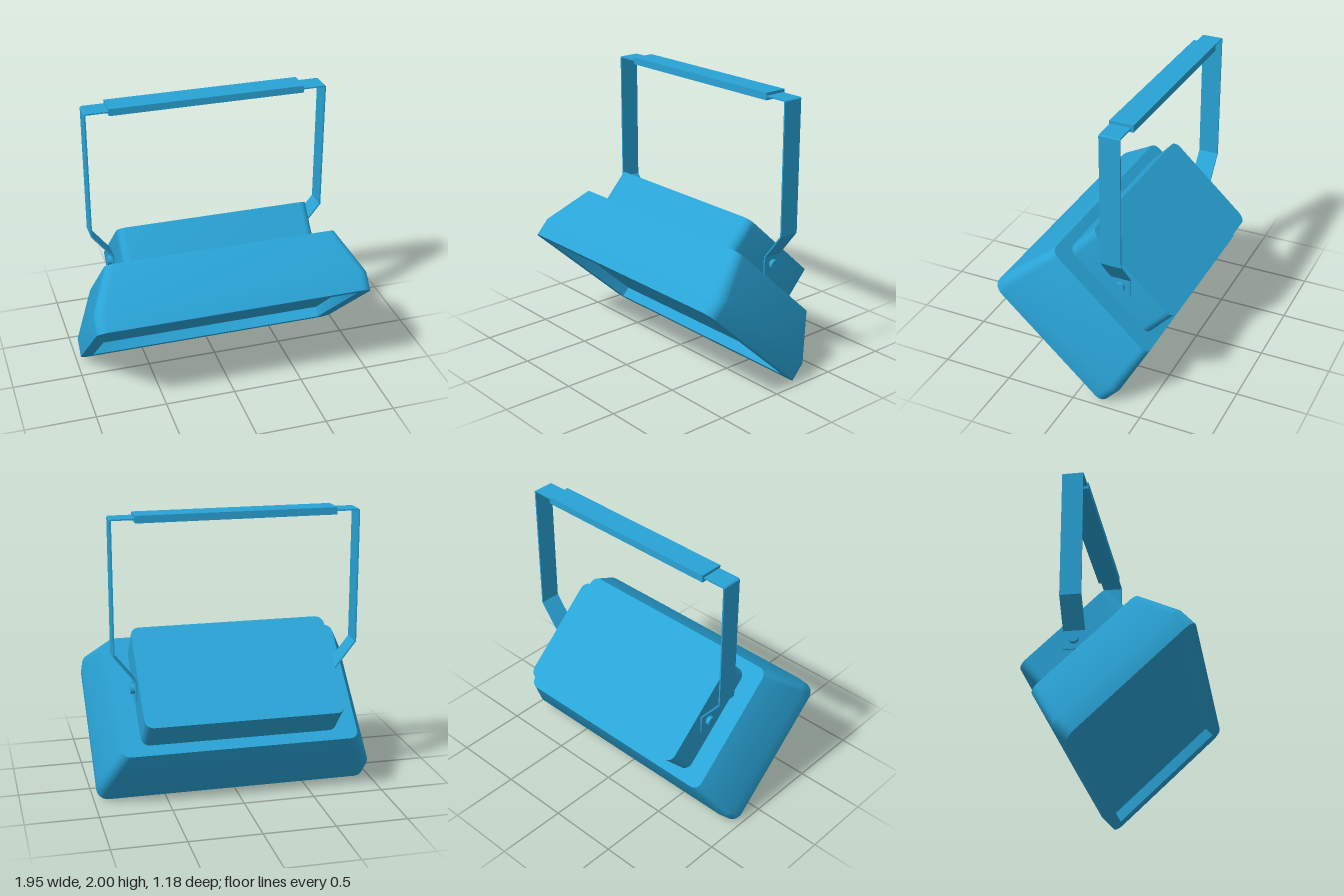
import * as THREE from 'three';
import { toCreasedNormals } from 'three/addons/utils/BufferGeometryUtils.js';

const material = new THREE.MeshStandardMaterial({ color: 0x29a3d6 });

function addMesh(parent, name, geometry) {
  const mesh = new THREE.Mesh(geometry, material);
  mesh.name = name;
  parent.add(mesh);
  return mesh;
}

// Rounded rectangle (half width w, half height h, radius r) at depth z, counter-clockwise
function section([w, h, r, z], steps = 6) {
  const points = [];
  [[1, 1], [-1, 1], [-1, -1], [1, -1]].forEach(([sx, sy], corner) => {
    for (let i = 0; i <= steps; i++) {
      const a = (corner + i / steps) * Math.PI / 2;
      points.push([sx * (w - r) + r * Math.cos(a), sy * (h - r) + r * Math.sin(a), z]);
    }
  });
  return points;
}

// Skin a row of sections; both ends close to a centre point
function loft(rows) {
  const rings = [[0, 0, 0, rows[0][3]], ...rows, [0, 0, 0, rows[rows.length - 1][3]]].map((row) => section(row));
  const positions = [];
  for (let k = 0; k < rings.length - 1; k++) {
    const n = rings[k].length;
    for (let i = 0; i < n; i++) {
      const j = (i + 1) % n;
      const a = rings[k][i], b = rings[k][j], c = rings[k + 1][j], d = rings[k + 1][i];
      if (k > 0) positions.push(...a, ...b, ...c);
      if (k < rings.length - 2) positions.push(...a, ...c, ...d);
    }
  }
  const geometry = new THREE.BufferGeometry();
  geometry.setAttribute('position', new THREE.Float32BufferAttribute(positions, 3));
  return toCreasedNormals(geometry, 0.5);
}

export function createModel() {
  const model = new THREE.Group();
  model.name = 'floodlight';

  // Lamp head, tilted to face forward and down
  const head = new THREE.Group();
  head.name = 'lampHead';
  head.position.set(0, 0.375, 0.1875);
  head.rotation.x = 0.827;
  model.add(head);

  // Tapered housing with a recessed front window
  addMesh(head, 'housing', loft([
    [0.83, 0.467, 0.06, -0.467],
    [0.975, 0.547, 0.08, -0.135],
    [0.975, 0.547, 0.08, 0],
    [0.88, 0.475, 0.004, 0],
    [0.88, 0.475, 0.004, -0.075],
  ]));

  // Rear control box
  addMesh(head, 'rearBox', loft([
    [0.69, 0.39, 0.06, -0.719],
    [0.69, 0.39, 0.06, -0.46],
  ]));

  // Bent strap bracket: outer edge up and over, inner edge back
  const outer = [[0.702, 0.73], [0.702, 0.86], [0.85, 1.05], [0.85, 1.972], [0.842, 1.98]];
  const inner = [[0.84, 1.97], [0.84, 1.054], [0.692, 0.864], [0.692, 0.73]];
  const mirrored = (points) => points.map(([x, y]) => [-x, y]).reverse();
  const outline = [...outer, ...mirrored(outer), ...mirrored(inner), ...inner];
  const strapShape = new THREE.Shape(outline.map(([x, y]) => new THREE.Vector2(x, y)));
  const strap = new THREE.ExtrudeGeometry(strapShape, { depth: 0.145, bevelEnabled: false });
  addMesh(model, 'bracket', strap).position.z = -0.295;

  // Hand grip on the crossbar
  addMesh(model, 'grip', new THREE.BoxGeometry(1.37, 0.05, 0.165)).position.set(0, 1.975, -0.226);

  // Pivot bolts
  for (const side of [1, -1]) {
    const bolt = addMesh(model, side > 0 ? 'leftBolt' : 'rightBolt', new THREE.CylinderGeometry(0.033, 0.033, 0.04, 20));
    bolt.rotation.z = Math.PI / 2;
    bolt.position.set(side * 0.71, 0.8, -0.223);
  }

  return model;
}
